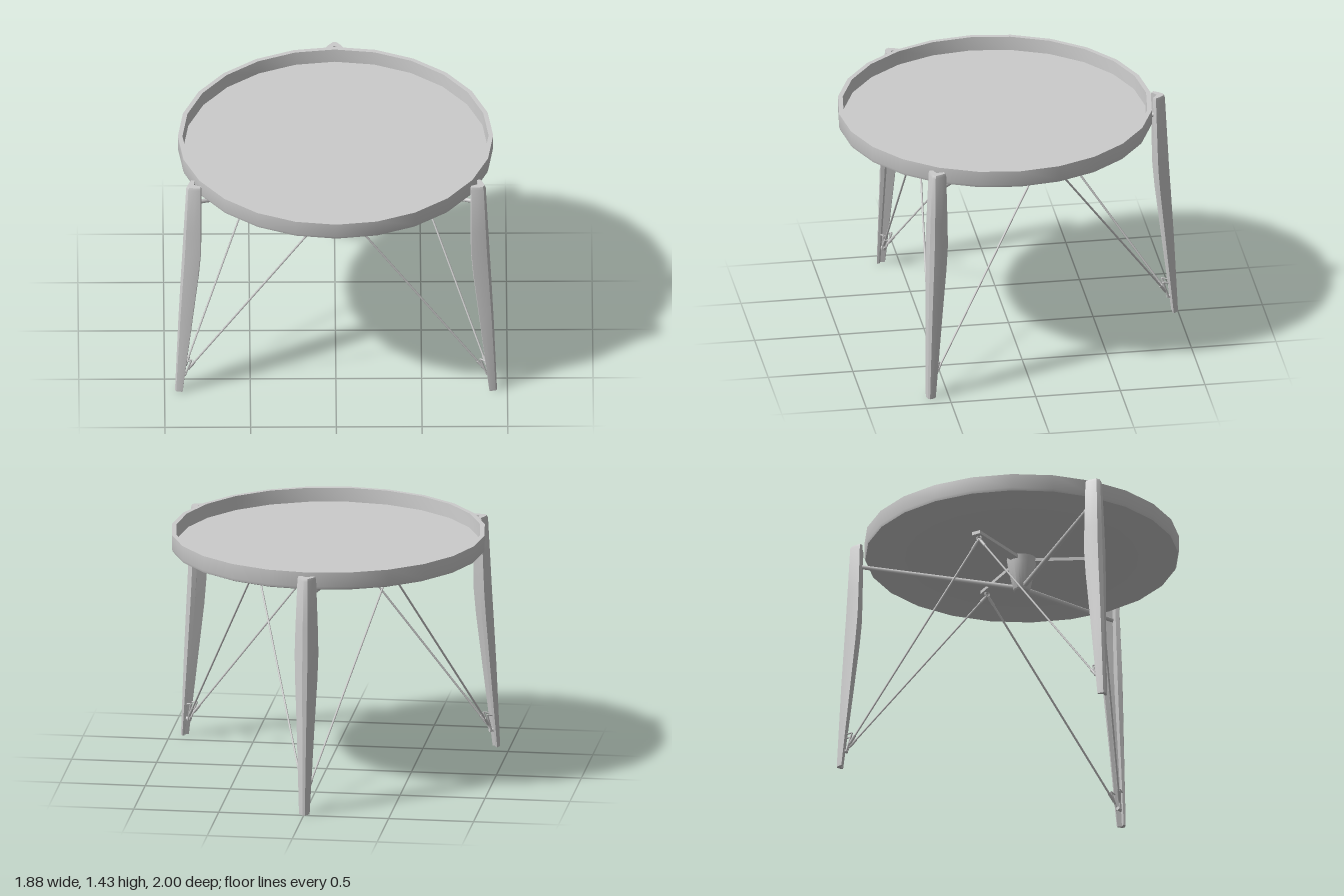
import * as THREE from 'three';
import { toCreasedNormals } from 'three/addons/utils/BufferGeometryUtils.js';

const material = new THREE.MeshStandardMaterial({ color: 0xcccccc });
const v = (x, y, z) => new THREE.Vector3(x, y, z);

function part(name, geometry) {
  const mesh = new THREE.Mesh(geometry, material);
  mesh.name = name;
  return mesh;
}

// Straight round bar between two points
function rod(name, a, b, r0, r1 = r0, sides = 8) {
  const mesh = part(name, new THREE.CylinderGeometry(r1, r0, a.distanceTo(b), sides));
  mesh.position.copy(a).add(b).multiplyScalar(0.5);
  mesh.quaternion.setFromUnitVectors(v(0, 1, 0), b.clone().sub(a).normalize());
  return mesh;
}

// Leg: chevron cross-sections, closed outside and hollowed on the inner side
function legGeometry() {
  const levels = [ // y, half width, outer radius, inner radius
    [0, 0.03, 1.08, 1.045],
    [0.015, 0.032, 1.08, 1.043],
    [0.5, 0.052, 1.055, 0.985],
    [0.8, 0.066, 1.036, 0.95],
    [0.95, 0.07, 1.026, 0.937],
    [1.1, 0.066, 1.018, 0.933],
    [1.395, 0.055, 1.002, 0.928],
    [1.41, 0.05, 0.995, 0.93],
  ];
  const positions = [], index = [];
  let n = 0;
  for (const [y, w, ro, ri] of levels) {
    const d = ro - ri;
    const half = [[0.22 * w, ro], [0.68 * w, ro - 0.4 * d], [w, ri + 0.2 * d], [0.7 * w, ri]];
    const ring = [...half, [0, ro - 0.6 * d], ...half.slice().reverse().map(([x, z]) => [-x, z])];
    n = ring.length;
    ring.forEach(([x, z]) => positions.push(x, y, z));
  }
  const last = (levels.length - 1) * n;
  for (let j = 0; j < last; j += n) {
    for (let i = 0; i < n; i++) {
      const k = (i + 1) % n;
      index.push(j + i, j + k, j + n + k, j + i, j + n + k, j + n + i);
    }
  }
  // End caps fan out from a point inside the chevron
  for (const [start, level] of [[0, levels[0]], [last, levels.at(-1)]]) {
    const centre = positions.length / 3;
    positions.push(0, level[0], level[2] - 0.35 * (level[2] - level[3]));
    for (let i = 0; i < n; i++) {
      const a = start + i, b = start + (i + 1) % n;
      index.push(centre, ...(start ? [a, b] : [b, a]));
    }
  }
  const geometry = new THREE.BufferGeometry();
  geometry.setAttribute('position', new THREE.Float32BufferAttribute(positions, 3));
  geometry.setIndex(index);
  return toCreasedNormals(geometry, 0.4);
}

export function createModel() {
  const model = new THREE.Group();
  model.name = 'trayTable';
  const table = new THREE.Group();
  table.name = 'table';
  table.position.z = 0.08;
  model.add(table);

  // Round tray with a raised rim
  const trayProfile = [
    [0, 1.318], [0.895, 1.318], [0.914, 1.326], [0.92, 1.342], [0.92, 1.428],
    [0.893, 1.428], [0.888, 1.345], [0, 1.345],
  ].map(([x, y]) => new THREE.Vector2(x, y));
  table.add(part('tray', toCreasedNormals(new THREE.LatheGeometry(trayProfile, 24), 0.6)));

  // Tapered central hub
  const hubProfile = [[0, 1.1], [0.042, 1.1], [0.05, 1.108], [0.082, 1.265], [0.088, 1.305], [0, 1.305]]
    .map(([x, y]) => new THREE.Vector2(x, y));
  table.add(part('hub', toCreasedNormals(new THREE.LatheGeometry(hubProfile, 18), 0.6)));
  table.add(rod('hubMount', v(0, 1.3, 0), v(0, 1.32, 0), 0.05, 0.05, 16));

  const leg = legGeometry();
  for (let i = 0; i < 3; i++) {
    // One third of the frame, with its leg towards local +z
    const side = new THREE.Group();
    side.name = 'legAssembly' + (i + 1);
    side.rotation.y = Math.PI / 3 + i * Math.PI * 2 / 3;
    table.add(side);
    side.add(part('leg', leg));
    side.add(rod('strut', v(0, 1.125, 0.04), v(0, 1.29, 0.975), 0.016, 0.012, 10));

    // Flat arm under the tray, midway between two legs
    const armGroup = new THREE.Group();
    armGroup.name = 'armAssembly';
    armGroup.rotation.y = Math.PI / 3;
    const arm = part('arm', new THREE.BoxGeometry(0.055, 0.02, 0.445));
    arm.position.set(0, 1.29, 0.2625);
    const eyelet = part('eyelet', new THREE.TorusGeometry(0.014, 0.005, 6, 12));
    eyelet.position.set(0, 1.268, 0.45);
    armGroup.add(arm, eyelet);
    side.add(armGroup);

    // Bracing wires from the foot to the two neighbouring arms
    for (const s of [-1, 1]) {
      const top = v(s * 0.39, 1.265, 0.225);
      const foot = v(s * 0.014, 0.13, 1.012);
      const at = (t) => foot.clone().lerp(top, t);
      side.add(rod('wire', foot, top, 0.006, 0.006, 6));
      side.add(rod('upperFerrule', at(0.95), at(0.985), 0.009));
      side.add(rod('lowerFerrule', at(0.01), at(0.05), 0.009));
      // Slim bracket holding the wire to the leg
      side.add(rod('footBracket', v(s * 0.012, 0.095, 1.025), v(s * 0.03, 0.205, 0.99), 0.006, 0.006, 6));
      side.add(rod('bracketPin', v(s * 0.03, 0.205, 0.99), v(s * 0.025, 0.195, 1.035), 0.005, 0.005, 6));
    }
    side.add(rod('footPin', v(0, 0.1, 1.015), v(0, 0.1, 1.06), 0.011));
  }
  return model;
}
